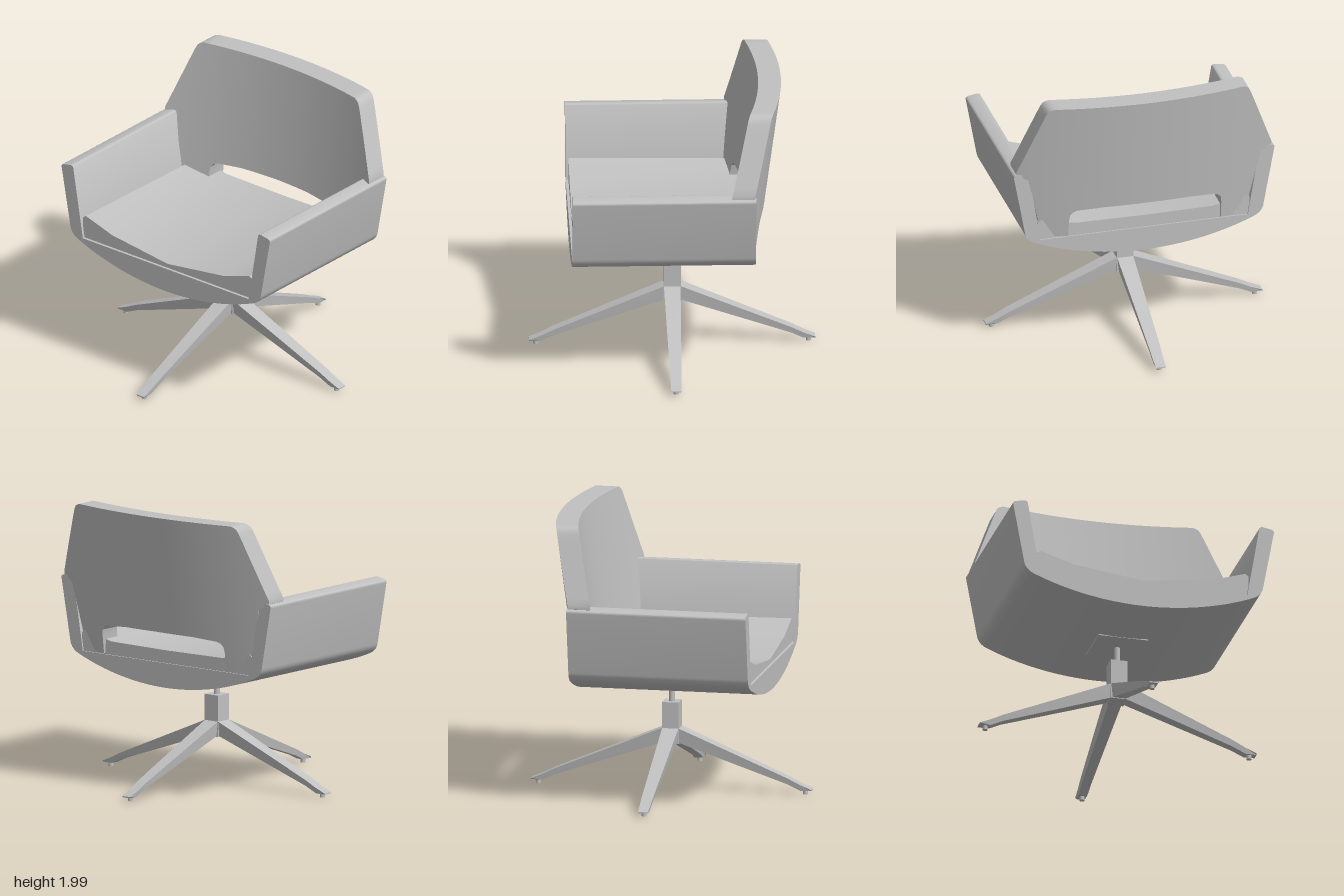
import * as THREE from 'three';
import { toCreasedNormals } from 'three/addons/utils/BufferGeometryUtils.js';

const grey = new THREE.MeshStandardMaterial({ color: 0xc0c0c0 });
grey.name = 'light grey';

function part(name, geometry, parent) {
  const mesh = new THREE.Mesh(geometry, grey);
  mesh.name = name;
  parent.add(mesh);
  return mesh;
}

// Loft through four-cornered sections along x; each is [x, [[y, z] x 4]]
function loft(sections, crease = 0.5) {
  const positions = [];
  const index = [];
  for (const [x, corners] of sections) for (const [y, z] of corners) positions.push(x, y, z);
  for (let i = 0; i < sections.length - 1; i++) {
    for (let j = 0; j < 4; j++) {
      const a = i * 4 + j, b = i * 4 + (j + 1) % 4;
      index.push(a, b, b + 4, a, b + 4, a + 4);
    }
  }
  const e = (sections.length - 1) * 4;
  index.push(0, 2, 1, 0, 3, 2, e, e + 1, e + 2, e, e + 2, e + 3);
  const geometry = new THREE.BufferGeometry();
  geometry.setAttribute('position', new THREE.Float32BufferAttribute(positions, 3));
  geometry.setIndex(index);
  return toCreasedNormals(geometry, crease);
}

// Repeat a half profile [x, ...values] on the other side of x = 0
function mirrored(half) {
  return [...half.slice(1).reverse().map(([x, ...v]) => [-x, ...v]), ...half];
}

// Piecewise subdivision so curved parts stay smooth
function refine(rows, step) {
  const out = [rows[0]];
  for (let i = 1; i < rows.length; i++) {
    const n = Math.max(1, Math.ceil((rows[i][0] - rows[i - 1][0]) / step));
    for (let k = 1; k <= n; k++) {
      out.push(rows[i].map((v, c) => THREE.MathUtils.lerp(rows[i - 1][c], v, k / n)));
    }
  }
  return out;
}

// Bucket shell: curved underside and two leaning arms in one section
function shellGeometry() {
  const s = new THREE.Shape();
  s.moveTo(0, 0.745);
  s.bezierCurveTo(0.3, 0.745, 0.58, 0.81, 0.79, 0.9);
  s.quadraticCurveTo(0.85, 0.925, 0.862, 0.98);
  s.lineTo(0.942, 1.42);
  s.quadraticCurveTo(0.945, 1.437, 0.925, 1.443);
  s.lineTo(0.86, 1.455);
  s.quadraticCurveTo(0.84, 1.455, 0.836, 1.44);
  s.lineTo(0.75, 0.92);
  s.lineTo(-0.75, 0.92);
  s.lineTo(-0.836, 1.44);
  s.quadraticCurveTo(-0.84, 1.455, -0.86, 1.455);
  s.lineTo(-0.925, 1.443);
  s.quadraticCurveTo(-0.945, 1.437, -0.942, 1.42);
  s.lineTo(-0.862, 0.98);
  s.quadraticCurveTo(-0.85, 0.925, -0.79, 0.9);
  s.bezierCurveTo(-0.58, 0.81, -0.3, 0.745, 0, 0.745);
  const g = new THREE.ExtrudeGeometry(s, { depth: 1.28, bevelEnabled: false, curveSegments: 12 });
  g.translate(0, 0, -0.56);
  return toCreasedNormals(g, 0.6);
}

// Seat cushion: dips to the middle in front, flatter at the back
function seatGeometry() {
  const half = [[0, 0.95, 1.01], [0.5, 1.015, 1.015], [0.74, 1.09, 1.07], [0.765, 1.07, 1.05]];
  return loft(mirrored(half).map(([x, front, back]) =>
    [x, [[0.915, -0.55], [back, -0.55], [front, 0.7], [0.915, 0.7]]]), 0.35);
}

// Backrest: bowed, reclined slab with a slot above the seat; rows are [x, bottom, top]
function backrestGeometry() {
  const half = [
    [0, 1.155, 1.99], [0.3, 1.152, 1.99], [0.49, 1.138, 1.99], [0.525, 1.125, 1.99],
    [0.545, 1.1, 1.99], [0.551, 1.06, 1.99], [0.552, 0.93, 1.99], [0.68, 0.93, 1.99],
    [0.705, 0.935, 1.982], [0.725, 0.94, 1.968], [0.74, 0.95, 1.94], [0.76, 1.05, 1.89],
    [0.84, 1.4, 1.683], [0.9, 1.43, 1.525], [0.922, 1.445, 1.47],
  ];
  const zFront = (x, y) => -0.6 + 0.135 * (1.99 - y) + 0.16 * x * x;
  const rows = mirrored(refine(half, 0.06));
  return loft(rows.map(([x, lo, hi]) => [x, [
    [lo, zFront(x, lo) - 0.16], [hi, zFront(x, hi) - 0.16],
    [hi, zFront(x, hi)], [lo, zFront(x, lo)],
  ]]));
}

// Tapered leg pointing along +x; rows are [x, bottom, top, half width]
function legGeometry() {
  const rows = [[0.0, 0.35, 0.44, 0.058], [0.06, 0.335, 0.44, 0.058],
    [0.83, 0.07, 0.115, 0.041], [0.92, 0.028, 0.07, 0.038], [1.0, 0.028, 0.037, 0.036]];
  return loft(rows.map(([x, lo, hi, w]) =>
    [x, [[lo, -w * 0.8], [hi, -w], [hi, w], [lo, w * 0.8]]]), 0.2);
}

export function createModel() {
  const model = new THREE.Group();
  model.name = 'swivelArmchair';

  part('shellAndArms', shellGeometry(), model);
  part('seatCushion', seatGeometry(), model);
  part('backrest', backrestGeometry(), model);

  // Swivel base
  const base = new THREE.Group();
  base.name = 'swivelBase';
  model.add(base);
  part('mountingPlate', new THREE.BoxGeometry(0.36, 0.03, 0.36), base).position.y = 0.758;
  part('post', new THREE.CylinderGeometry(0.021, 0.021, 0.16, 20), base).position.y = 0.68;
  part('hub', new THREE.BoxGeometry(0.12, 0.295, 0.12), base).position.y = 0.4775;

  // Four legs with small round feet
  const leg = legGeometry();
  const foot = new THREE.CylinderGeometry(0.018, 0.018, 0.034, 16);
  for (let i = 0; i < 4; i++) {
    const arm = new THREE.Group();
    arm.name = 'legWithFoot';
    arm.rotation.y = i * Math.PI / 2;
    part('leg', leg, arm);
    part('foot', foot, arm).position.set(0.953, 0.017, 0);
    base.add(arm);
  }
  return model;
}
